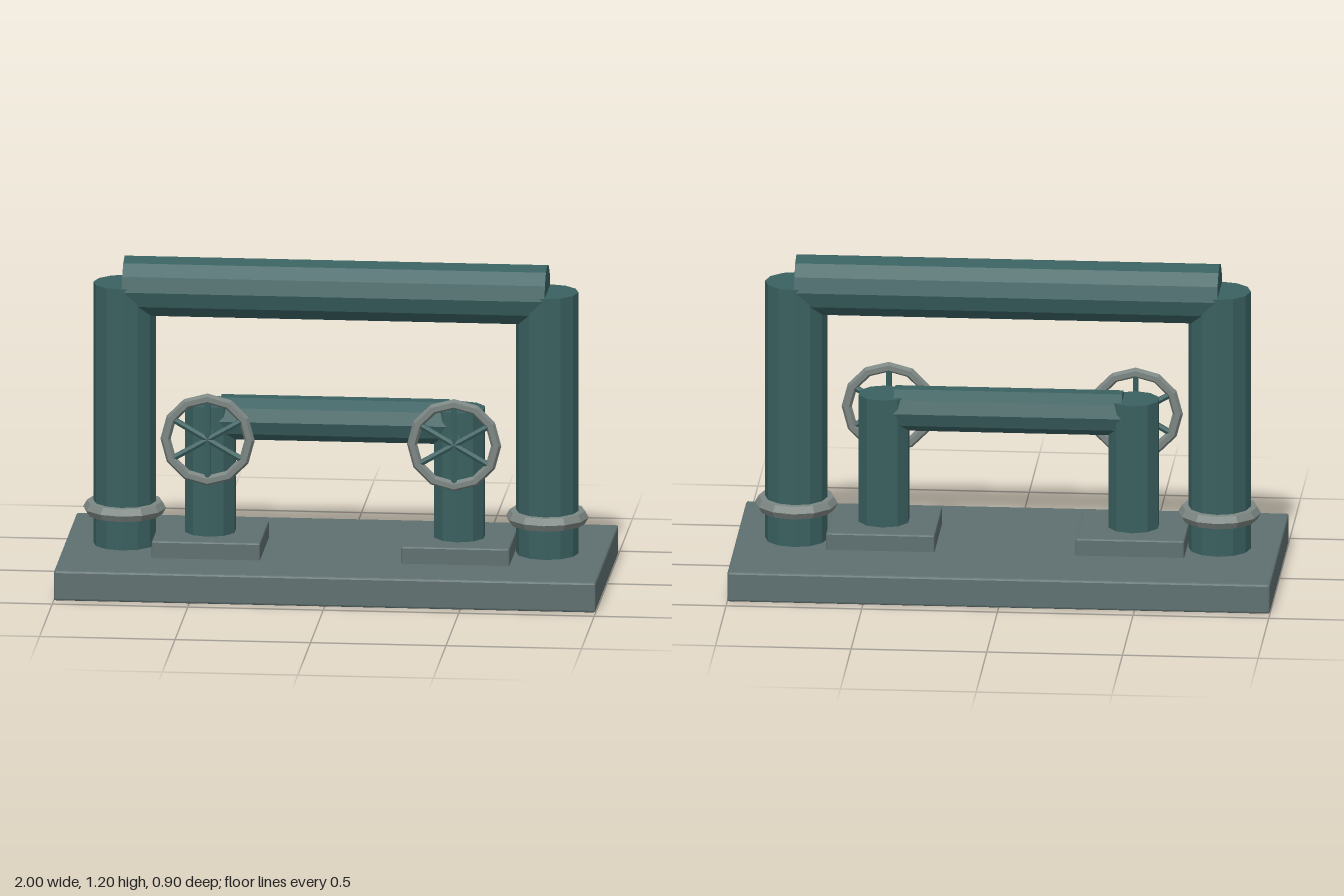
import * as THREE from 'three';
import { RoundedBoxGeometry } from 'three/addons/geometries/RoundedBoxGeometry.js';

const paint = (color) => new THREE.MeshStandardMaterial({ color, flatShading: true });

export function createModel() {
  const model = new THREE.Group();
  const pipeMat = paint(0x3a6060), baseMat = paint(0x5f7070), trimMat = paint(0x7c8683);

  function add(name, geometry, material, x, y, z, parent = model) {
    const mesh = new THREE.Mesh(geometry, material);
    mesh.name = name;
    mesh.position.set(x, y, z);
    parent.add(mesh);
    return mesh;
  }
  const pipe = (radius, length, sides) => new THREE.CylinderGeometry(radius, radius, length, sides);

  // Base slab
  add('base', new RoundedBoxGeometry(2, 0.113, 0.9, 1, 0.008), baseMat, 0, 0.0565, 0);

  // Horizontal pipes
  add('topPipe', pipe(0.113, 1.56, 12), pipeMat, 0, 1.088, 0).rotation.z = Math.PI / 2;
  add('crossPipe', pipe(0.083, 0.84, 10), pipeMat, 0, 0.61, 0.04).rotation.z = Math.PI / 2;

  for (const side of [-1, 1]) {
    // Tall riser with its collar
    add('riser', pipe(0.115, 1.0, 12), pipeMat, side * 0.78, 0.6, 0);
    add('riserCollar', new THREE.TorusGeometry(0.125, 0.028, 6, 12), trimMat,
      side * 0.78, 0.25, 0).rotation.x = Math.PI / 2;

    // Short riser on its foot plate
    add('footPlate', new RoundedBoxGeometry(0.4, 0.075, 0.36, 1, 0.006), baseMat, side * 0.46, 0.14, 0.04);
    add('shortRiser', pipe(0.096, 0.5, 10), pipeMat, side * 0.46, 0.415, 0.04);

    // Valve wheel: stem, rim and spokes
    const wheel = new THREE.Group();
    wheel.name = 'valveWheel';
    wheel.position.set(side * 0.455, 0.562, 0.201);
    model.add(wheel);
    add('stem', pipe(0.025, 0.1, 8), pipeMat, 0, 0, -0.05, wheel).rotation.x = Math.PI / 2;
    add('rim', new THREE.TorusGeometry(0.155, 0.019, 6, 12), trimMat, 0, 0, 0, wheel);
    for (let i = 0; i < 3; i++) {
      add('spoke', pipe(0.012, 0.31, 6), pipeMat, 0, 0, 0, wheel).rotation.z = i * Math.PI / 3;
    }
  }
  return model;
}
